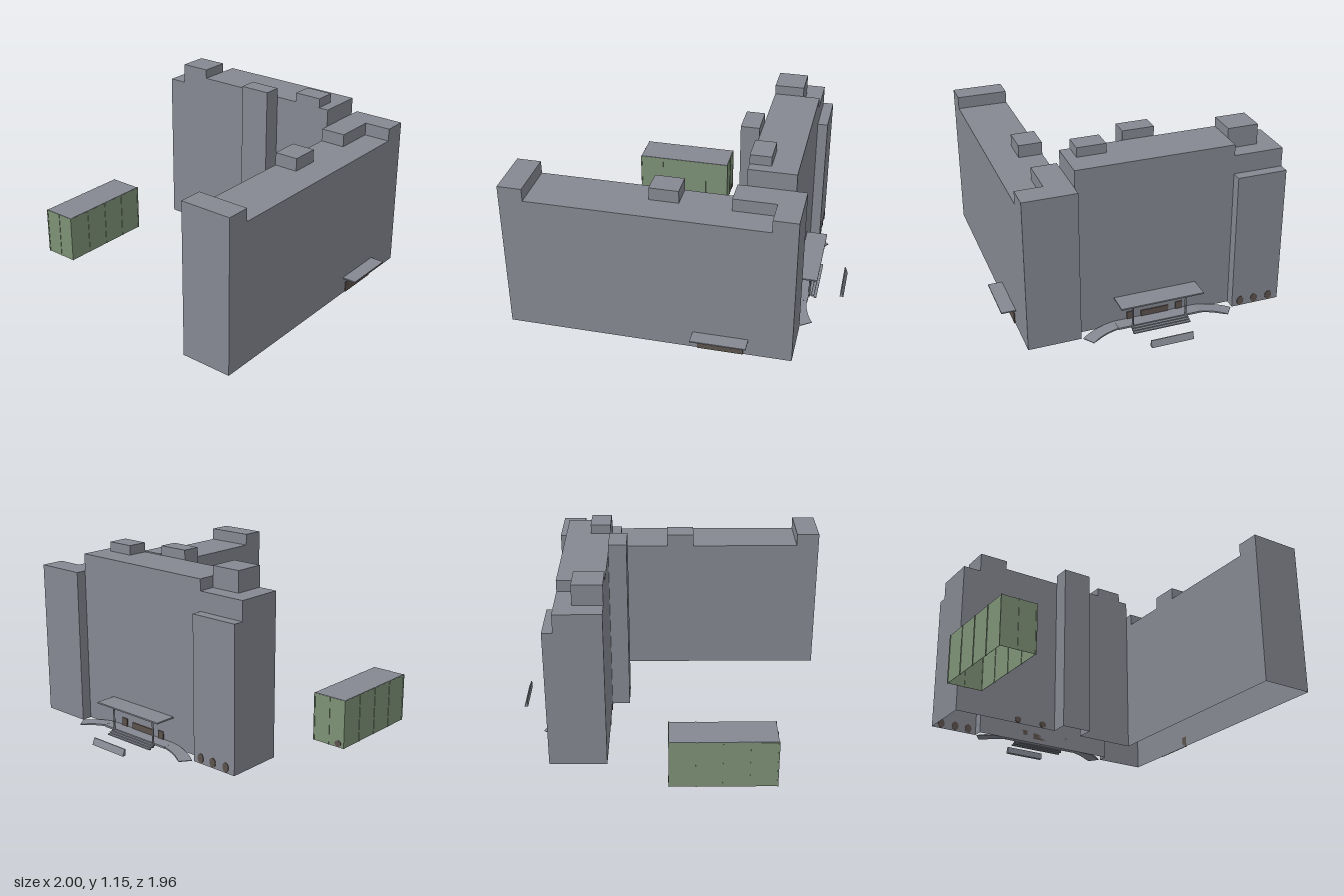
import * as THREE from 'three';

const grey = new THREE.MeshStandardMaterial({ color: 0x858891, side: THREE.DoubleSide });
grey.name = 'concrete grey';
const green = new THREE.MeshStandardMaterial({ color: 0x7e9277, side: THREE.DoubleSide });
green.name = 'fence green';
const brown = new THREE.MeshStandardMaterial({ color: 0x5c524c, side: THREE.DoubleSide });
brown.name = 'door brown';

export function createModel() {
  const root = new THREE.Group();
  root.name = 'buildingComplex';

  const add = (name, geo, mat = grey) => {
    const m = new THREE.Mesh(geo, mat);
    m.name = name;
    root.add(m);
    return m;
  };
  // box from its two extreme corners
  const box = (name, x0, x1, y0, y1, z0, z1, mat) =>
    add(name, new THREE.BoxGeometry(x1 - x0, y1 - y0, z1 - z0), mat)
      .position.set((x0 + x1) / 2, (y0 + y1) / 2, (z0 + z1) / 2);

  // main L-shaped block with its stair tower, roofed but open underneath
  const plan = [[-1, .89], [.765, .89], [.765, .56], [.7, .56], [.7, -.43], [.765, -.43], [.765, -.745],
    [.41, -.745], [.41, -.03], [.295, -.03], [.295, .17], [.41, .17], [.41, .56], [-1, .56]];
  const shape = new THREE.Shape(plan.map(([x, z]) => new THREE.Vector2(x, -z)));
  const shell = new THREE.ExtrudeGeometry(shape, { depth: .9, bevelEnabled: false }).rotateX(-Math.PI / 2).toNonIndexed();
  const p = shell.attributes.position, kept = [];
  for (let i = 0; i < p.count; i += 3) {
    const onFloor = [0, 1, 2].every(k => p.getY(i + k) < .001);
    if (!onFloor) for (let k = 0; k < 3; k++) kept.push(p.getX(i + k), p.getY(i + k), p.getZ(i + k));
  }
  const walls = new THREE.BufferGeometry();
  walls.setAttribute('position', new THREE.Float32BufferAttribute(kept, 3));
  walls.computeVertexNormals();
  add('mainBlock', walls);

  // upper storeys and roof structures
  box('tallWingTop', .41, .70, .9, 1.09, -.43, .56);
  box('rearWingTop', .41, .70, .9, 1.02, -.745, -.43);
  box('stairTowerTop', .295, .41, .9, 1.15, -.03, .17);
  box('rearRoofHouse', .41, .595, 1.02, 1.15, -.625, -.43);
  box('tallWingRoofHouse', .41, .54, 1.09, 1.15, .315, .495);
  box('frontWingEndHouse', -1, -.85, .9, .98, .56, .89);
  box('frontWingMiddleHouse', -.14, .04, .9, .98, .56, .71);
  box('frontWingCornerHouse', .615, .765, .9, .98, .56, .89);
  box('frontWingInnerHouse', .355, .615, .9, .98, .56, .72);

  // front entrance
  box('frontCanopy', .16, .5, .106, .114, .89, .98);
  box('frontDoorMiddle', .25, .41, 0, .06, .89, .896, brown);
  for (const [a, b] of [[.19, .25], [.41, .47]]) box('frontDoorSide', a, b, 0, .07, .89, .896, brown);

  // side entrance: canopy, columns, platform, steps and doors
  const mid = .067;
  box('sideCanopy', .70, .835, .19, .199, -.2, .33);
  box('platform', .70, .782, .018, .03, -.2, .33);
  for (let i = 0; i < 3; i++)
    box('step', .782 + i * .016, .798 + i * .016, .015 - i * .0075, .0225 - i * .0075, -.12, .25);
  for (const s of [-1, 1]) {
    add('column', new THREE.CylinderGeometry(.006, .006, .19, 10)).position.set(.782, .095, mid + s * .172);
    box('sideDoorOuter', .70, .706, .03, .08, mid + s * .16 - .022, mid + s * .16 + .022, brown);
  }
  box('sideDoorMiddle', .70, .706, .03, .07, mid - .09, mid + .09, brown);

  // curved ramps falling away from the platform on both sides
  const n = 14;
  for (const s of [-1, 1]) {
    const pos = [], idx = [];
    for (let i = 0; i <= n; i++) {
      const a = i / n * .62, y = .03 - .026 * i / n, z0 = mid + s * .264;
      for (const [r, yy] of [[.38, y], [.3, y], [.3, Math.max(0, y - .01)], [.38, Math.max(0, y - .01)]])
        pos.push(1.08 - r * Math.cos(a), yy, z0 + s * r * Math.sin(a));
    }
    for (let i = 0; i < n; i++) for (let k = 0; k < 4; k++) {
      const a = i * 4 + k, b = i * 4 + (k + 1) % 4, c = a + 4, d = b + 4;
      if (s > 0) idx.push(a, c, b, b, c, d);
      else idx.push(a, b, c, b, d, c);
    }
    const e = n * 4;
    if (s > 0) idx.push(0, 1, 2, 0, 2, 3, e, e + 2, e + 1, e, e + 3, e + 2);
    else idx.push(0, 2, 1, 0, 3, 2, e, e + 1, e + 2, e, e + 2, e + 3);
    const g = new THREE.BufferGeometry();
    g.setAttribute('position', new THREE.Float32BufferAttribute(pos, 3));
    g.setIndex(idx);
    const flat = g.toNonIndexed();
    flat.computeVertexNormals();
    add('ramp', flat);
  }

  // small freestanding wedge facing the side entrance
  const wedge = new THREE.Shape([[.976, 0], [1, 0], [.984, .042], [.978, .042]].map(q => new THREE.Vector2(...q)));
  add('freestandingWedge', new THREE.ExtrudeGeometry(wedge, { depth: .27, bevelEnabled: false })).position.z = -.07;

  // little oval service openings at ground level
  const opening = (x, z, h) => {
    const m = add('serviceOpening', new THREE.CylinderGeometry(.023, .023, .006, 16).rotateZ(Math.PI / 2), brown);
    m.scale.set(1, h / .046, 1);
    m.position.set(x, h / 2 + .005, z);
  };
  for (const z of [-.485, -.58, -.68]) opening(.766, z, .06);
  for (const z of [-.305, -.12]) opening(.409, z, .04);

  // fenced yard behind: green panels, posts and a flat grey cover
  const x0 = -.61, x1 = .033, z0 = -.98, z1 = -.758, h = .31;
  for (const z of [z0, z1]) box('fencePanelLong', x0, x1, 0, h - .004, z - .001, z + .001, green);
  for (const x of [x0, x1]) box('fencePanelShort', x - .001, x + .001, 0, h - .004, z0, z1, green);
  box('fenceCover', x0, x1, h - .004, h, z0, z1);
  const post = (x, z) => box('fencePost', x - .004, x + .004, 0, h, z - .004, z + .004, green);
  for (let i = 0; i < 5; i++) for (const z of [z0, z1]) post(x0 + (x1 - x0) * i / 4, z);
  for (const x of [x0, x1]) post(x, (z0 + z1) / 2);
  opening(x1 + .002, -.94, .04);

  return root;
}
